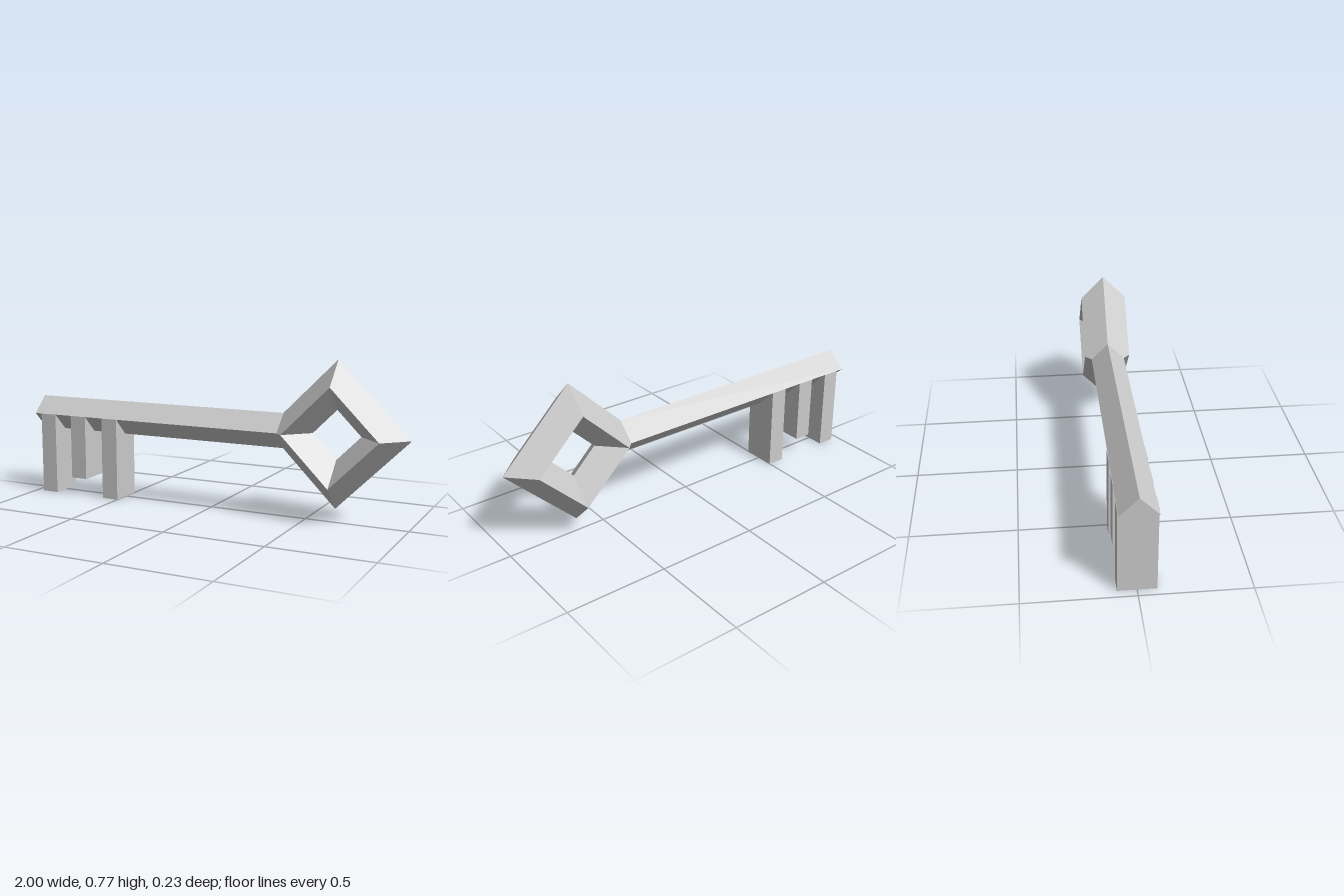
import * as THREE from 'three';

export function createModel() {
  const model = new THREE.Group();
  const material = new THREE.MeshStandardMaterial({ color: 0xcccccc, flatShading: true });
  const axisY = 0.418;

  function add(name, geometry, x, y) {
    const mesh = new THREE.Mesh(geometry, material);
    mesh.name = name;
    mesh.position.set(x, y, 0);
    model.add(mesh);
    return mesh;
  }

  // Diamond-shaped bow with a diamond section
  add('bow', new THREE.TorusGeometry(0.235, 0.117, 4, 4), 0.647, axisY);

  // Four-sided shaft, its end buried in the bow
  const left = -1, right = 0.38;
  const shaft = add('shaft', new THREE.CylinderGeometry(0.085, 0.085, right - left, 4), (left + right) / 2, axisY);
  shaft.rotation.z = Math.PI / 2;

  // Teeth hanging from the shaft: centre x and bottom y
  const teeth = [[-0.917, 0], [-0.732, 0.09], [-0.543, 0]];
  teeth.forEach(([x, bottom], i) => {
    const height = axisY - bottom;
    add(`tooth${i + 1}`, new THREE.BoxGeometry(0.088, height, 0.174), x, bottom + height / 2);
  });

  return model;
}
